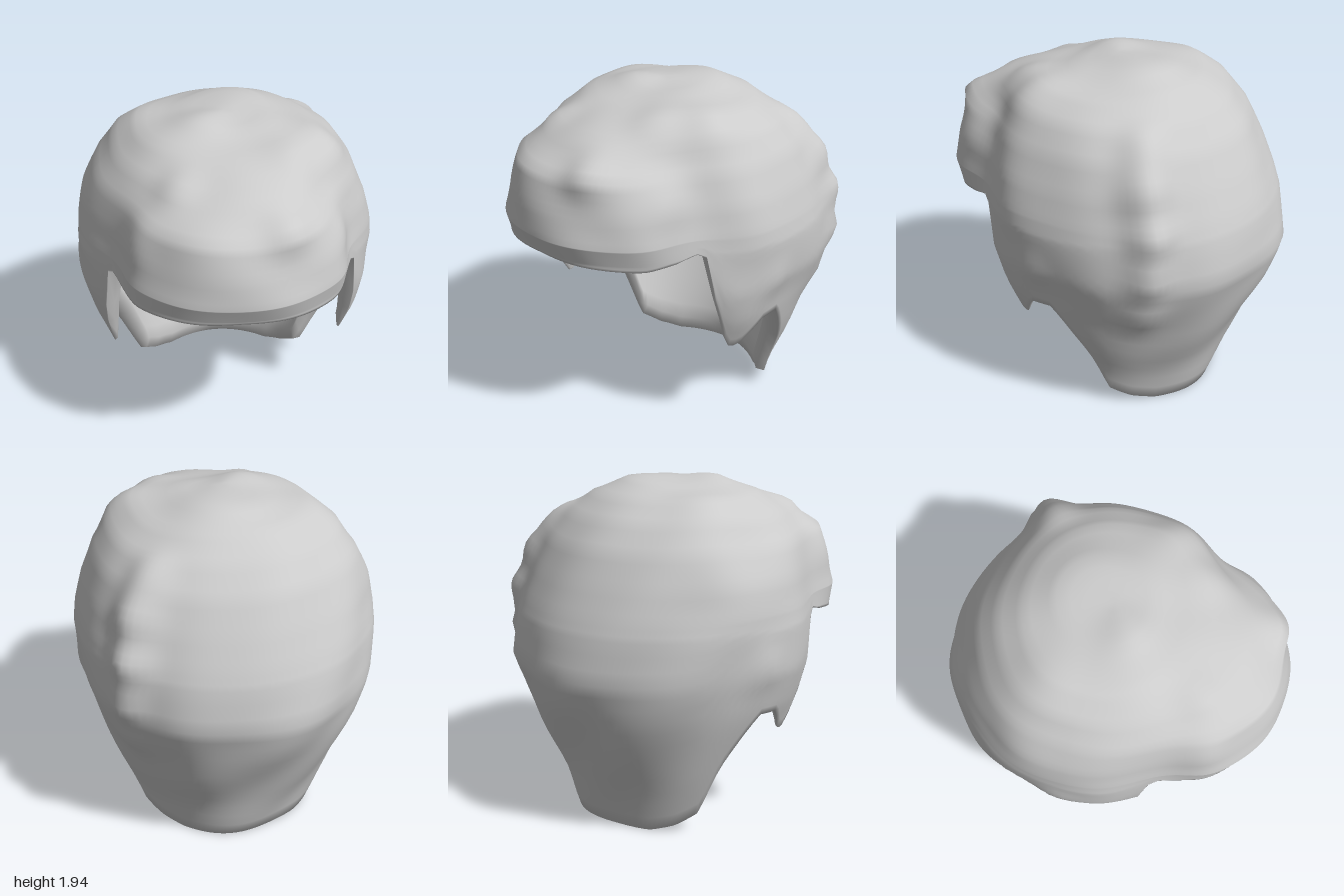
import * as THREE from 'three';
import { mergeVertices } from 'three/addons/utils/BufferGeometryUtils.js';

// Horizontal sections from crown to nape: [y, half width, front reach, back reach]
const SECTIONS = [
  [1.93, 0, 0, 0], [1.92, 0.24, 0.2, 0.3], [1.86, 0.48, 0.42, 0.48],
  [1.76, 0.62, 0.7, 0.62], [1.62, 0.72, 0.91, 0.74], [1.45, 0.79, 0.96, 0.83],
  [1.3, 0.83, 0.99, 0.9], [1.2, 0.845, 0.95, 0.94], [0.96, 0.83, 0.92, 0.99],
  [0.75, 0.78, 0.85, 0.92], [0.5, 0.69, 0.75, 0.81], [0.25, 0.61, 0.65, 0.7], [0, 0.53, 0.6, 0.62],
];

// Hem height by angle from the front: fringe, sideburn, ear notch, nape
const HEM = [
  [0, 1.19], [25, 1.18], [42, 1.17], [55, 1.19], [64, 1.23], [66.5, 1.15], [67.5, 0.93], [72, 0.66],
  [75, 0.58], [79, 0.57], [83, 0.65], [87, 0.73], [95, 0.74], [99, 0.66],
  [109, 0.42], [117, 0.13], [129, 0.06], [143, 0.02], [180, 0.02],
];

// Tufts raised on the surface: [x, y, z, height, radius]
const TUFTS = [
  [-0.12, 1.92, 0.1, 0.035, 0.13], [0.15, 1.92, -0.2, 0.02, 0.2], [-0.3, 1.8, 0.55, 0.04, 0.12],
  [0.25, 1.68, 0.85, 0.06, 0.12], [0.5, 1.68, -0.5, 0.06, 0.12], [0.6, 1.5, -0.58, 0.11, 0.13],
  [0.64, 1.28, -0.64, 0.11, 0.12], [0.66, 1.05, -0.64, 0.08, 0.11], [0.64, 0.78, -0.6, 0.04, 0.12],
  [0.5, 1.78, 0.2, 0.04, 0.14], [0.55, 1.5, 0.55, 0.04, 0.13], [0.3, 1.8, 0.4, 0.04, 0.13],
  [-0.72, 1.5, -0.3, 0.03, 0.18], [-0.8, 1.02, -0.1, 0.025, 0.12], [0.8, 0.97, 0, 0.02, 0.12],
  [-0.5, 1.5, 0.62, 0.03, 0.14], [-0.4, 1.8, -0.2, 0.03, 0.18],
];

const COLUMNS = 144, CROWN_ROWS = 24, SIDE_ROWS = 18, LINING = 0.84;

function hemHeight(degrees) {
  let i = 0;
  while (i < HEM.length - 2 && HEM[i + 1][0] < degrees) i++;
  const [a, ya] = HEM[i], [b, yb] = HEM[i + 1];
  return THREE.MathUtils.lerp(ya, yb, (degrees - a) / (b - a));
}

// Position along the section table at which height y is reached
function levelAt(y) {
  let i = 0;
  while (i < SECTIONS.length - 2 && SECTIONS[i + 1][0] > y) i++;
  return i + (SECTIONS[i][0] - y) / (SECTIONS[i][0] - SECTIONS[i + 1][0]);
}

// Even rows over the crown, shared by all columns, then rows stretched down to the hem
function rowLevels(crownY, hem) {
  const crown = levelAt(crownY), end = levelAt(hem), levels = [];
  for (let i = 0; i < CROWN_ROWS; i++) levels.push((crown * i) / CROWN_ROWS);
  for (let i = 0; i <= SIDE_ROWS; i++) levels.push(THREE.MathUtils.lerp(crown, end, i / SIDE_ROWS));
  return levels;
}

// Squarer at the back, pinched at the temples
function surfacePoint(level, phi) {
  const i = Math.min(Math.floor(level), SECTIONS.length - 2);
  const [y, a, f, b] = SECTIONS[i].map((v, k) => THREE.MathUtils.lerp(v, SECTIONS[i + 1][k], level - i));
  const c = Math.cos(phi), s = Math.sin(phi);
  const z = c * (c > 0 ? f : b);
  const width = c > 0 ? 1 - 0.14 * Math.exp(-(((z - 0.5) / 0.22) ** 2)) : 1 + 0.06 * Math.sin(2 * phi) ** 2;
  return new THREE.Vector3(a * s * width, y, z);
}

// Outer hair: tufts and gentle waves push the surface away from the head
function outerPoint(level, phi) {
  const p = surfacePoint(level, phi);
  const out = new THREE.Vector3(p.x, Math.max(0, p.y - 1.1), p.z).normalize();
  let push = 0.014 * Math.sin(9 * p.x + 4 * p.y) * Math.sin(7 * p.z - 5 * p.y);
  for (const [x, y, z, h, r] of TUFTS) {
    const d2 = (p.x - x) ** 2 + (p.y - y) ** 2 + (p.z - z) ** 2;
    push += h * Math.exp(-d2 / (r * r));
  }
  return p.addScaledVector(out, push);
}

// Inner lining: the same shell drawn in towards the head
function innerPoint(level, phi, k) {
  const p = surfacePoint(level, phi);
  const cy = Math.min(p.y, 1.1);
  return new THREE.Vector3(p.x * k, cy + (p.y - cy) * k, p.z * k);
}

function hairGeometry() {
  const positions = [], index = [];
  const rows = 2 * (CROWN_ROWS + SIDE_ROWS + 1) + 1;
  for (let j = 0; j < COLUMNS; j++) {
    const phi = (j / COLUMNS) * Math.PI * 2;
    const degrees = THREE.MathUtils.radToDeg(phi);
    const angle = Math.min(degrees, 360 - degrees);
    const hem = hemHeight(angle);
    // the sideburn thins towards its tip
    const hemScale = LINING + 0.09 * Math.exp(-(((angle - 79) / 14) ** 2));
    const column = rowLevels(1.3, hem).map((level) => outerPoint(level, phi));
    column.push(innerPoint(levelAt(hem + 0.01), phi, (1 + hemScale) / 2)); // rounded hem
    const lining = rowLevels(1.4, hem + 0.1).map((level) => {
      const y = surfacePoint(level, phi).y;
      const rise = THREE.MathUtils.clamp((y - hem) / 0.6, 0, 1);
      return innerPoint(level, phi, THREE.MathUtils.lerp(hemScale, LINING, rise));
    });
    column.push(...lining.reverse());
    column.forEach((p) => positions.push(p.x, p.y, p.z));
  }
  for (let j = 0; j < COLUMNS; j++) {
    const next = (j + 1) % COLUMNS;
    for (let i = 0; i < rows - 1; i++) {
      const a = j * rows + i, b = next * rows + i;
      if (i > 0) index.push(a, a + 1, b);
      if (i < rows - 2) index.push(b, a + 1, b + 1);
    }
  }
  let geometry = new THREE.BufferGeometry();
  geometry.setAttribute('position', new THREE.Float32BufferAttribute(positions, 3));
  geometry.setIndex(index);
  geometry = mergeVertices(geometry, 1e-5);
  geometry.computeVertexNormals();
  return geometry;
}

export function createModel() {
  const group = new THREE.Group();
  group.name = 'wig';
  const material = new THREE.MeshStandardMaterial({ color: 0xcccccc, side: THREE.DoubleSide });
  const hair = new THREE.Mesh(hairGeometry(), material);
  hair.name = 'hairShell';
  group.add(hair);
  return group;
}
